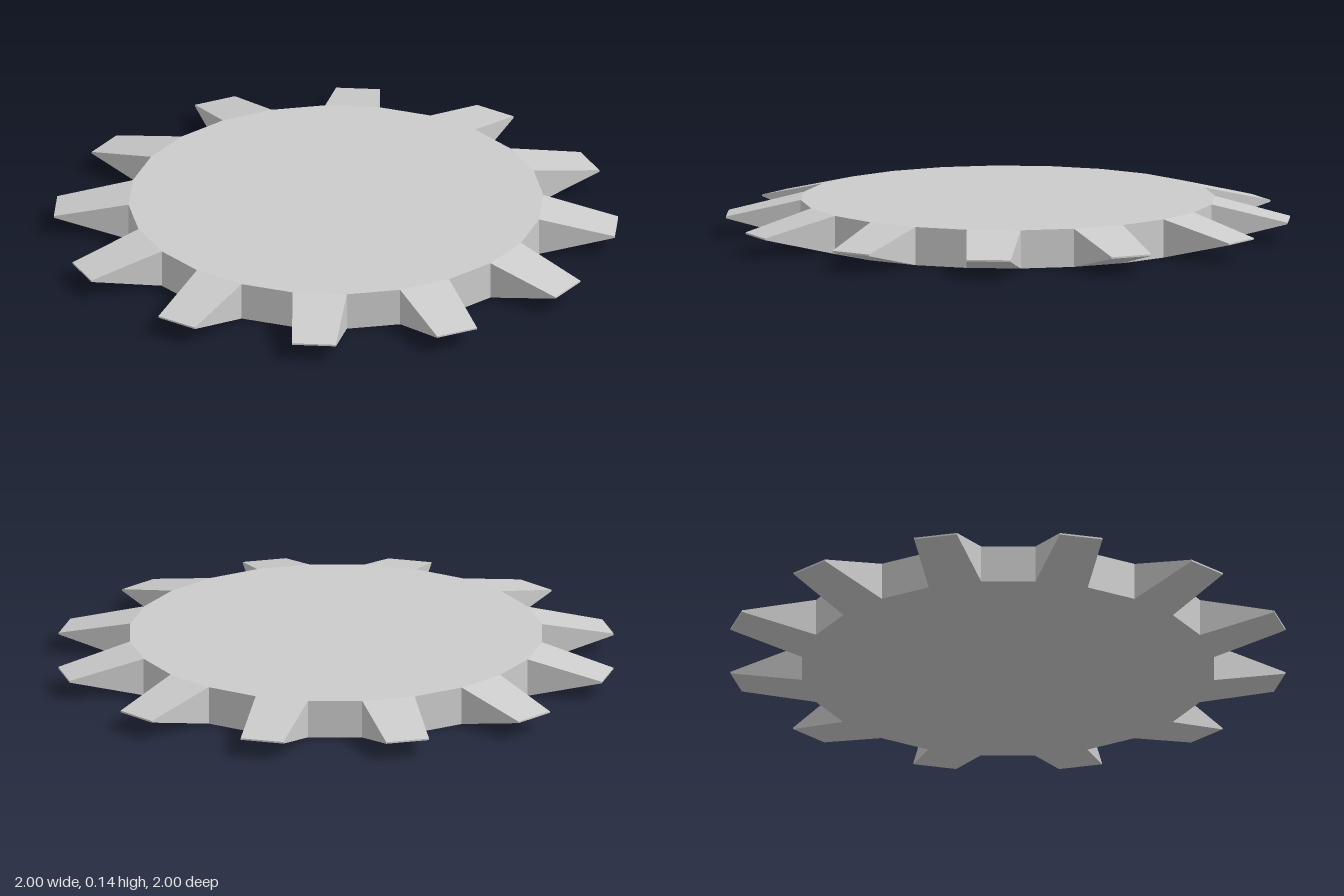
import * as THREE from 'three';

const SIDES = 24, TEETH = 12;
const R = 0.737;        // disc corner radius
const H = 0.137;        // disc thickness
const TIP_R = 0.9983;   // distance of the tooth edge from the axis
const TIP_WIDTH = 0.157, TIP_HEIGHT = 0.006;

// A box whose outer end is narrowed to a thin chisel edge
function toothGeometry() {
  const inner = R * Math.cos(Math.PI / SIDES);
  const width = 2 * R * Math.sin(Math.PI / SIDES);
  const geo = new THREE.BoxGeometry(TIP_R - inner, H, width);
  const p = geo.attributes.position;
  for (let i = 0; i < p.count; i++) {
    if (p.getX(i) > 0) {
      p.setY(i, p.getY(i) * TIP_HEIGHT / H);
      p.setZ(i, p.getZ(i) * TIP_WIDTH / width);
    }
  }
  geo.translate((TIP_R + inner) / 2, H / 2, 0);
  geo.computeVertexNormals();
  return geo;
}

export function createModel() {
  const group = new THREE.Group();
  group.name = 'gear';
  const material = new THREE.MeshStandardMaterial({ color: 0xcccccc, flatShading: true });

  // Solid faceted disc
  const disc = new THREE.Mesh(new THREE.CylinderGeometry(R, R, H, SIDES), material);
  disc.name = 'disc';
  disc.position.y = H / 2;
  group.add(disc);

  // One tooth on every second side of the disc
  const teeth = new THREE.Group();
  teeth.name = 'teeth';
  const geo = toothGeometry();
  for (let i = 0; i < TEETH; i++) {
    const tooth = new THREE.Mesh(geo, material);
    tooth.name = 'tooth';
    tooth.rotation.y = Math.PI / SIDES + i * 2 * Math.PI / TEETH;
    teeth.add(tooth);
  }
  group.add(teeth);
  return group;
}
